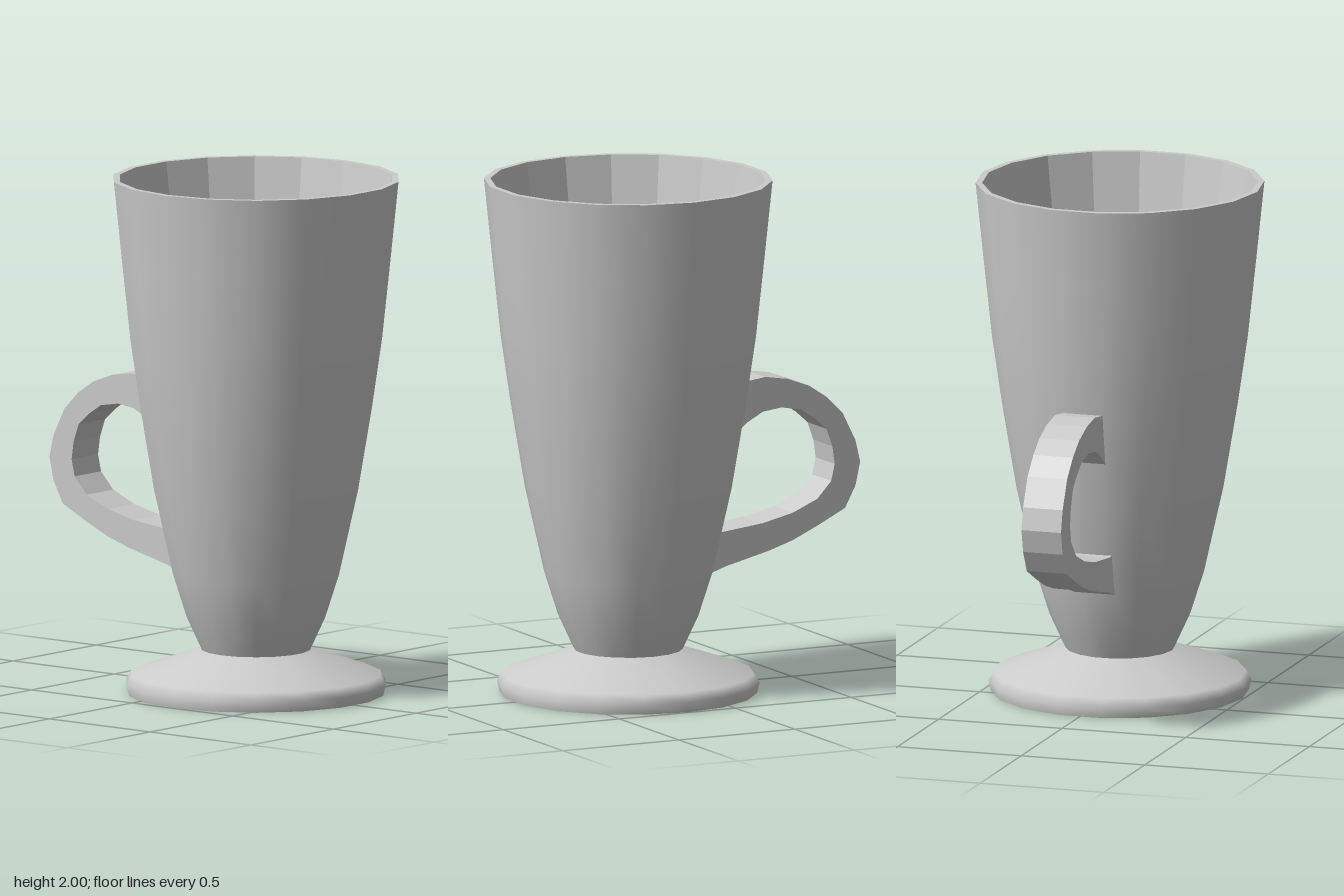
import * as THREE from 'three';

const SIDES = 18;
const CUP_Z = 0.205; // cup axis sits forward of centre to balance the handle

const smooth = new THREE.MeshStandardMaterial({ color: 0xcccccc });
const faceted = new THREE.MeshStandardMaterial({ color: 0xcccccc, flatShading: true });

// Revolve [radius, height] pairs; upward order faces outward
function turned(name, profile, material) {
  const points = profile.map(([r, y]) => new THREE.Vector2(r, y));
  const mesh = new THREE.Mesh(new THREE.LatheGeometry(points, SIDES, Math.PI / 2), material);
  mesh.name = name;
  mesh.position.z = CUP_Z;
  return mesh;
}

function createHandle() {
  // [z, y] outlines of the loop, from upper joint to lower joint and back
  const outer = [
    [-0.235, 1.18], [-0.345, 1.195], [-0.44, 1.18], [-0.535, 1.145], [-0.61, 1.095],
    [-0.68, 1.025], [-0.735, 0.915], [-0.755, 0.83], [-0.735, 0.74], [-0.69, 0.655],
    [-0.58, 0.6], [-0.465, 0.548], [-0.36, 0.515], [-0.175, 0.47], [-0.095, 0.443],
  ];
  const inner = [
    [-0.135, 0.61], [-0.16, 0.605], [-0.335, 0.625], [-0.465, 0.655], [-0.57, 0.7],
    [-0.63, 0.765], [-0.645, 0.83], [-0.635, 0.9], [-0.61, 0.97], [-0.56, 1.015],
    [-0.5, 1.055], [-0.415, 1.07], [-0.335, 1.06], [-0.27, 1.025], [-0.205, 0.975],
  ];
  const shape = new THREE.Shape([...outer, ...inner].map(([z, y]) => new THREE.Vector2(z, y)));
  const geometry = new THREE.ExtrudeGeometry(shape, { depth: 0.16, bevelEnabled: false });
  geometry.translate(0, 0, -0.08);
  geometry.rotateY(-Math.PI / 2); // shape x becomes z
  const mesh = new THREE.Mesh(geometry, faceted);
  mesh.name = 'handle';
  return mesh;
}

export function createModel() {
  const group = new THREE.Group();
  group.name = 'footedMug';
  group.add(
    // Foot: flat underside and sloping top
    turned('footUnderside', [[0, 0], [0.495, 0]], smooth),
    turned('foot', [[0.495, 0], [0.505, 0.04], [0.485, 0.075], [0.21, 0.17]], smooth),
    // Tapered cup wall
    turned('cupWall', [
      [0.21, 0.17], [0.27, 0.3], [0.323, 0.466], [0.398, 0.8],
      [0.453, 1.13], [0.491, 1.39], [0.523, 1.69], [0.555, 2],
    ], smooth),
    // Rim, inner wall and the surface inside
    turned('rim', [[0.555, 2], [0.53, 2]], smooth),
    turned('innerWall', [[0.53, 2], [0.465, 1.6]], faceted),
    turned('innerSurface', [[0.465, 1.6], [0, 1.6]], smooth),
    createHandle(),
  );
  return group;
}
